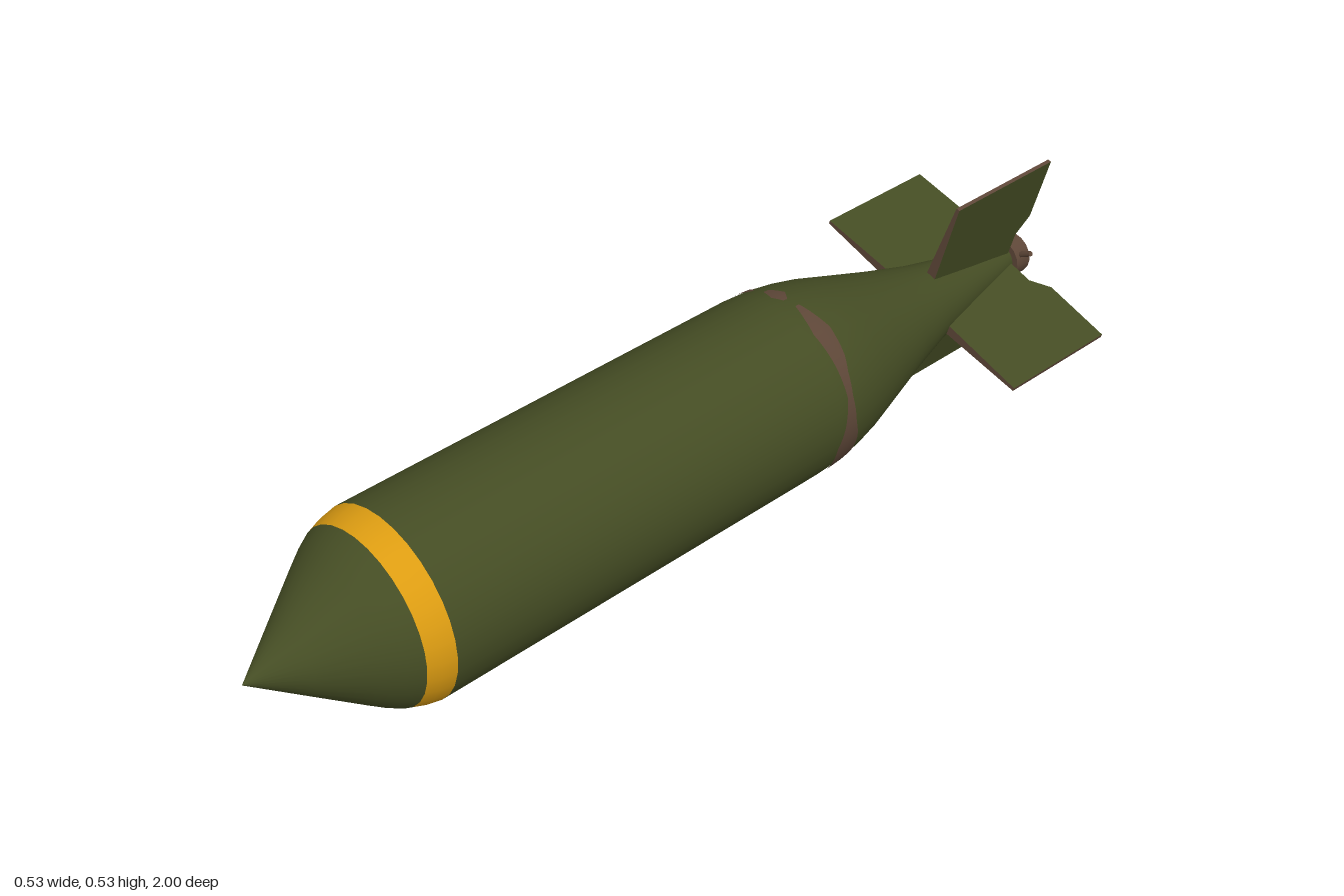
import * as THREE from 'three';

const mat = (name, color, side = THREE.FrontSide) => {
  const m = new THREE.MeshStandardMaterial({ color, side });
  m.name = name;
  return m;
};

const AXIS_Y = 0.27;
const SIDES = 32;

export function createModel() {
  const green = mat('olive green', 0x454d24);
  const yellow = mat('band yellow', 0xdc9c12);
  const brown = mat('rust brown', 0x5e4738);
  const rust = brown;

  const model = new THREE.Group();
  model.name = 'finnedShell';
  const body = new THREE.Group();
  body.name = 'body';
  body.position.y = AXIS_Y;
  model.add(body);

  const add = (name, geometry, material, parent = body) => {
    const mesh = new THREE.Mesh(geometry, material);
    mesh.name = name;
    parent.add(mesh);
    return mesh;
  };

  // Profiles are [radius, z], running from back to front
  const lathe = (pts) =>
    new THREE.LatheGeometry(pts.map(([r, z]) => new THREE.Vector2(r, z)), SIDES).rotateX(Math.PI / 2);

  // Casing: tapered tail and straight barrel
  const hull = [
    [0.03, -0.97], [0.058, -0.83], [0.086, -0.7], [0.114, -0.6], [0.145, -0.5],
    [0.17, -0.42], [0.184, -0.36], [0.192, -0.31], [0.195, -0.26], [0.195, 0.69],
  ];
  add('casing', lathe(hull), green);
  add('noseBand', lathe([[0.195, 0.69], [0.189, 0.72], [0.18, 0.745]]), yellow);
  add('noseCone', lathe([[0.18, 0.745], [0.163, 0.775], [0.142, 0.805], [0.073, 0.9], [0, 1]]), green);

  // Radius of the casing at a given z
  const radiusAt = (z) => {
    for (let i = 1; i < hull.length; i++) {
      const [r0, z0] = hull[i - 1], [r1, z1] = hull[i];
      if (z <= z1) return r0 + ((r1 - r0) * (z - z0)) / (z1 - z0);
    }
    return 0.195;
  };

  // Rust patch: a thin strip hugging the casing; stations are [degrees, zBack, zFront]
  const rustPatch = (name, stations) => {
    const pos = [], index = [];
    const steps = 4, rows = 4;
    const rings = [];
    stations.forEach((s, i) => {
      if (i === 0) return rings.push(s);
      const p = stations[i - 1];
      for (let k = 1; k <= steps; k++) rings.push(s.map((v, j) => p[j] + ((v - p[j]) * k) / steps));
    });
    rings.forEach(([deg, zb, zf], i) => {
      const a = THREE.MathUtils.degToRad(deg);
      for (let k = 0; k <= rows; k++) {
        const z = zb + ((zf - zb) * k) / rows;
        const r = radiusAt(z) + 0.0012;
        pos.push(r * Math.cos(a), r * Math.sin(a), z);
        if (i && k) {
          const c = i * (rows + 1) + k, b = c - rows - 1;
          index.push(b - 1, c - 1, c, b - 1, c, b);
        }
      }
    });
    const g = new THREE.BufferGeometry();
    g.setAttribute('position', new THREE.Float32BufferAttribute(pos, 3));
    g.setIndex(index);
    g.computeVertexNormals();
    add(name, g, rust);
  };
  rustPatch('rustRight', [
    [-54, -0.3, -0.29], [-45, -0.32, -0.268], [-30, -0.325, -0.262], [-14, -0.318, -0.258],
    [0, -0.305, -0.272], [18, -0.3, -0.285], [32, -0.305, -0.282], [42, -0.315, -0.28],
    [60, -0.322, -0.275], [72, -0.312, -0.285], [82, -0.305, -0.295],
  ]);
  rustPatch('rustTop', [[90, -0.3, -0.29], [97, -0.318, -0.28], [107, -0.305, -0.292]]);
  rustPatch('rustLeft', [
    [117, -0.3, -0.29], [130, -0.315, -0.28], [150, -0.325, -0.272], [170, -0.315, -0.275],
    [186, -0.3, -0.29],
  ]);
  rustPatch('rustBottom', [[-110, -0.3, -0.29], [-102, -0.318, -0.275], [-93, -0.3, -0.29]]);

  // Tail fins: wedge plates, thick at the root, with bare edges
  const outline = new THREE.Shape([
    [0.02, -0.7], [0.02, -0.955], [0.085, -0.955], [0.125, -0.985], [0.277, -0.985], [0.277, -0.7],
  ].map(([r, z]) => new THREE.Vector2(r, z)));
  const finGeometry = new THREE.ExtrudeGeometry(outline, { depth: 1, bevelEnabled: false });
  const p = finGeometry.attributes.position;
  for (let i = 0; i < p.count; i++) {
    const half = 0.0145 - 0.038 * p.getX(i);
    p.setZ(i, (p.getZ(i) - 0.5) * 2 * half);
  }
  finGeometry.rotateX(Math.PI / 2);
  finGeometry.computeVertexNormals();

  // Tail plug with small radial pins between the fins
  add('tailPlug', new THREE.CylinderGeometry(0.046, 0.046, 0.04, 16).rotateX(Math.PI / 2), brown)
    .position.z = -0.98;
  const pinGeometry = new THREE.CylinderGeometry(0.006, 0.006, 0.04, 6).rotateZ(Math.PI / 2);
  pinGeometry.translate(0.055, 0, -0.975);

  for (let i = 0; i < 4; i++) {
    const angle = THREE.MathUtils.degToRad(73 + 90 * i);
    add('tailFin', finGeometry, [green, brown]).rotation.z = angle;
    add('tailPin', pinGeometry, brown).rotation.z = angle + Math.PI / 4;
  }

  return model;
}
